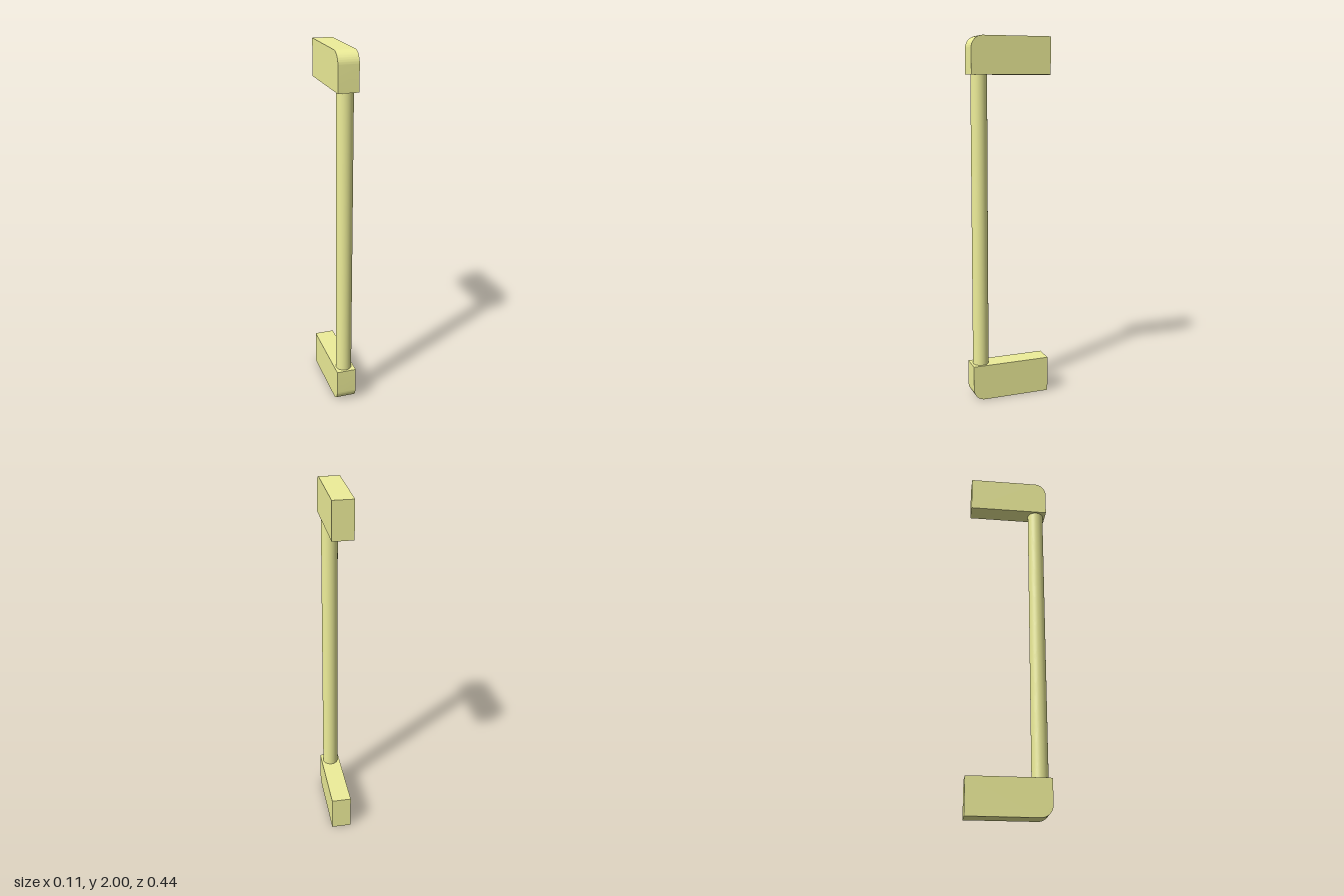
import * as THREE from 'three';
import { toCreasedNormals } from 'three/addons/utils/BufferGeometryUtils.js';

const WIDTH = 0.11, HALF_DEPTH = 0.222, THICK = 0.2, FILLET = 0.065;
const BAR_RADIUS = 0.044, BAR_Z = 0.165;

// Side profile of a mount, drawn as (z, y) and extruded across the width
function mountGeometry() {
  const profile = new THREE.Shape();
  profile.moveTo(-HALF_DEPTH, 0);
  profile.lineTo(HALF_DEPTH, 0);
  profile.lineTo(HALF_DEPTH, THICK - FILLET);
  profile.absarc(HALF_DEPTH - FILLET, THICK - FILLET, FILLET, 0, Math.PI / 2, false);
  profile.lineTo(-HALF_DEPTH, THICK);
  profile.closePath();

  const geometry = new THREE.ExtrudeGeometry(profile, {
    depth: WIDTH, bevelEnabled: false, curveSegments: 16,
  });
  geometry.translate(0, 0, -WIDTH / 2);
  geometry.rotateY(-Math.PI / 2);
  return toCreasedNormals(geometry, 0.5);
}

export function createModel() {
  const group = new THREE.Group();
  group.name = 'pullHandle';
  const material = new THREE.MeshStandardMaterial({ color: 0xeeee99 });

  // Upper and lower mounts, the lower one turned upside down
  const mount = mountGeometry();
  const topMount = new THREE.Mesh(mount, material);
  topMount.name = 'topMount';
  topMount.position.y = 2 - THICK;

  const bottomMount = new THREE.Mesh(mount, material);
  bottomMount.name = 'bottomMount';
  bottomMount.position.y = THICK;
  bottomMount.rotation.z = Math.PI;

  // Round grip bar between the mounts
  const gripBar = new THREE.Mesh(
    new THREE.CylinderGeometry(BAR_RADIUS, BAR_RADIUS, 2 - 2 * THICK, 48), material);
  gripBar.name = 'gripBar';
  gripBar.position.set(0, 1, BAR_Z);

  group.add(topMount, bottomMount, gripBar);
  return group;
}
